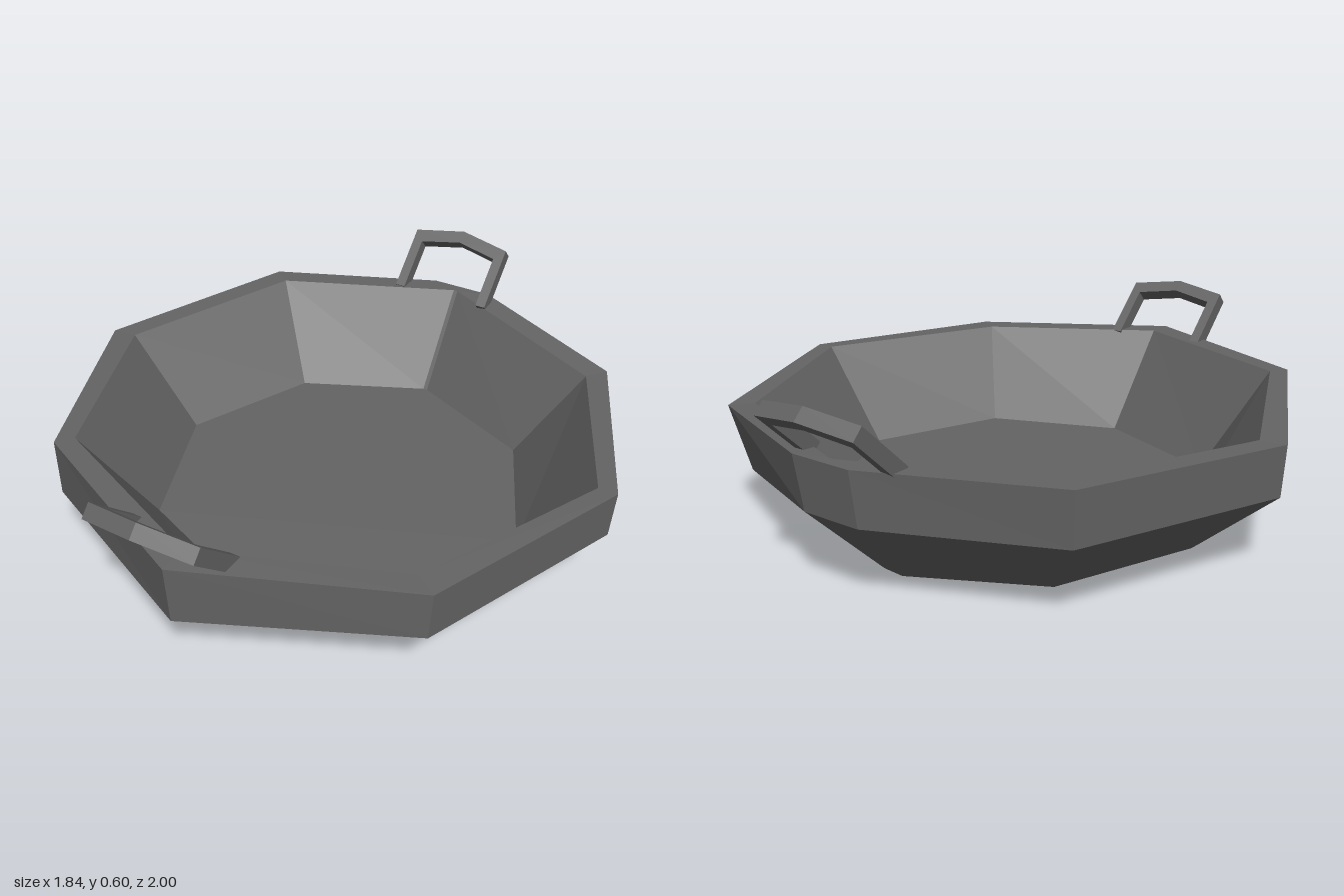
import * as THREE from 'three';

// Rings of [x, y, z], from +x round through the front; the back corner is split in two.
const rings = {
  base: [[0.63, 0.02, 0], [0.45, 0.02, 0.45], [0, 0.03, 0.64], [-0.44, 0.02, 0.45], [-0.64, 0.02, 0],
    [-0.45, 0.015, -0.45], [-0.04, 0, -0.63], [0.03, 0.005, -0.63], [0.45, 0.025, -0.46]],
  shoulder: [[0.91, 0.255, 0], [0.64, 0.25, 0.64], [0, 0.235, 0.92], [-0.63, 0.24, 0.64], [-0.91, 0.25, 0],
    [-0.64, 0.25, -0.64], [-0.11, 0.25, -0.87], [0.09, 0.25, -0.87], [0.62, 0.17, -0.6]],
  rim: [[0.92, 0.41, 0], [0.65, 0.41, 0.64], [0, 0.43, 0.93], [-0.63, 0.43, 0.64], [-0.92, 0.41, 0],
    [-0.65, 0.42, -0.65], [-0.1, 0.42, -0.885], [0.11, 0.42, -0.885], [0.66, 0.39, -0.645]],
  lip: [[0.86, 0.41, 0], [0.58, 0.41, 0.59], [0, 0.43, 0.84], [-0.59, 0.43, 0.59], [-0.84, 0.41, -0.01],
    [-0.59, 0.42, -0.6], [-0.01, 0.42, -0.85], [0.005, 0.42, -0.85], [0.61, 0.39, -0.58]],
  floor: [[0.63, 0.1, -0.01], [0.45, 0.1, 0.44], [0.02, 0.1, 0.61], [-0.43, 0.1, 0.43], [-0.61, 0.1, -0.02],
    [-0.42, 0.1, -0.45], [-0.015, 0.1, -0.64], [0, 0.1, -0.64], [0.43, 0.1, -0.45]],
};

function geometryFrom(corners) {
  const geometry = new THREE.BufferGeometry();
  geometry.setAttribute('position', new THREE.Float32BufferAttribute(corners.flat(), 3));
  geometry.computeVertexNormals();
  return geometry;
}

// Wall of facets between two rings
function band(low, high) {
  const out = [];
  low.forEach((a, k) => {
    const n = (k + 1) % low.length;
    out.push(a, high[k], high[n], a, high[n], low[n]);
  });
  return geometryFrom(out);
}

// Flat polygon closing a ring
function cap(ring, up) {
  const out = [];
  for (let k = 1; k < ring.length - 1; k++) {
    out.push(ring[0], ...(up ? [ring[k + 1], ring[k]] : [ring[k], ring[k + 1]]));
  }
  return geometryFrom(out);
}

export function createModel() {
  const group = new THREE.Group();
  group.name = 'pan';
  const iron = new THREE.MeshStandardMaterial({ color: 0x646464 });
  iron.name = 'dark iron';
  iron.flatShading = true;

  const add = (name, geometry) => {
    const mesh = new THREE.Mesh(geometry, iron);
    mesh.name = name;
    group.add(mesh);
    return mesh;
  };

  // Bowl
  add('underside', cap(rings.base, false));
  add('lowerWall', band(rings.base, rings.shoulder));
  add('upperWall', band(rings.shoulder, rings.rim));
  add('rim', band(rings.rim, rings.lip));
  add('innerWall', band(rings.lip, rings.floor));
  add('floor', cap(rings.floor, true));

  // Peaked loop handles, leaning outwards at front and back
  const outline = [[-0.215, -0.02], [-0.215, 0.205], [-0.035, 0.24], [0.145, 0.205], [0.145, -0.02],
    [0.11, -0.02], [0.11, 0.165], [-0.035, 0.195], [-0.18, 0.165], [-0.18, -0.02]];
  const loop = new THREE.ExtrudeGeometry(
    new THREE.Shape(outline.map(([x, y]) => new THREE.Vector2(x, y))),
    { depth: 0.048, bevelEnabled: false });
  loop.translate(0, 0, -0.024);
  for (const [name, side] of [['frontHandle', 1], ['backHandle', -1]]) {
    const handle = add(name, loop);
    handle.position.set(0, 0.42, side * 0.81);
    handle.rotation.x = side * 0.81;
  }
  return group;
}
